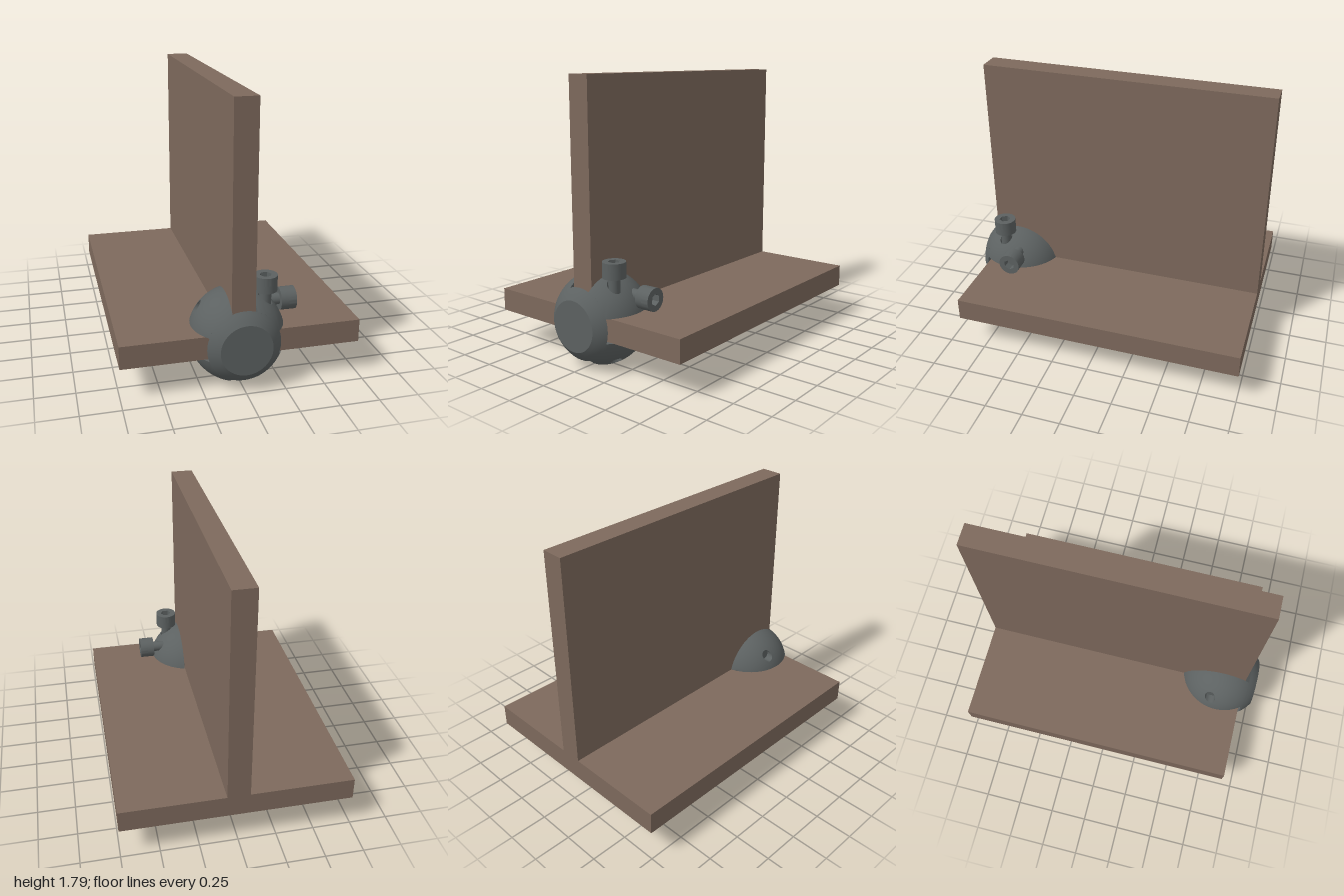
import * as THREE from 'three';
import { toCreasedNormals } from 'three/addons/utils/BufferGeometryUtils.js';

const R = 0.3, GAP = 0.077, FRONT = 0.192;   // ball radius, half slot width, slot end
const CY = 0.29, CZ = 0.748;                 // ball centre

// One quarter of the slotted ball: a height field around a straight bolt hole.
// Local axes: a = sideways, h = along the hole, z = forward.
function quarterGeometry(sx, sy, sideways, ca, cz, hole) {
  const ro = Math.sqrt(R * R - GAP * GAP);
  const back = -Math.sqrt(ro * ro - GAP * GAP);
  const t0 = Math.atan2(back, GAP), t1 = Math.asin(FRONT / ro);
  const outline = [];
  for (let i = 0; i < 36; i++) {
    const t = t0 + (t1 - t0) * i / 36;
    outline.push([ro * Math.cos(t), ro * Math.sin(t)]);
  }
  const aEnd = ro * Math.cos(t1);
  for (let i = 0; i < 8; i++) outline.push([aEnd + (GAP - aEnd) * i / 8, FRONT]);
  for (let i = 0; i < 18; i++) outline.push([GAP, FRONT + (back - FRONT) * i / 18]);

  const rings = 12, loop = rings + 3, pos = [], idx = [];
  for (const [a, z] of outline) {
    const d = Math.hypot(a - ca, z - cz);
    const ra = ca + (a - ca) * hole / d, rz = cz + (z - cz) * hole / d;
    const put = (pa, ph, pz) => sideways
      ? pos.push(sx * ph, sy * pa, pz) : pos.push(sx * pa, sy * ph, pz);
    put(ra, GAP, rz);
    for (let j = 0; j <= rings; j++) {
      const s = Math.sin(j / rings * Math.PI / 2);
      const pa = ra + (a - ra) * s, pz = rz + (z - rz) * s;
      put(pa, Math.sqrt(Math.max(GAP * GAP, R * R - pa * pa - pz * pz)), pz);
    }
    put(a, GAP, z);
  }
  const flip = sx * sy * (sideways ? -1 : 1) < 0, n = outline.length;
  for (let i = 0; i < n; i++) for (let j = 0; j < loop; j++) {
    const k = (i + 1) % n, m = (j + 1) % loop;
    const A = i * loop + j, B = k * loop + j, C = i * loop + m, D = k * loop + m;
    if (flip) idx.push(A, C, B, B, C, D);
    else idx.push(A, B, C, B, D, C);
  }
  const g = new THREE.BufferGeometry();
  g.setAttribute('position', new THREE.Float32BufferAttribute(pos, 3));
  g.setIndex(idx);
  return toCreasedNormals(g, 0.5);
}

export function createModel() {
  const model = new THREE.Group();
  const wood = new THREE.MeshStandardMaterial({ color: 0x7d695c });
  wood.name = 'brown board';
  const metal = new THREE.MeshStandardMaterial({ color: 0x5c6161 });
  metal.name = 'grey metal';

  const add = (parent, name, geo, mat, x = 0, y = 0, z = 0) => {
    const m = new THREE.Mesh(geo, mat);
    m.name = name;
    m.position.set(x, y, z);
    parent.add(m);
    return m;
  };

  // Boards
  add(model, 'horizontalBoard', new THREE.BoxGeometry(1.5, 0.148, 1.912), wood, 0, CY, -0.044);
  add(model, 'verticalBoard', new THREE.BoxGeometry(0.148, 1.427, 1.912), wood, 0, 1.0775, -0.044);

  // Slotted ball: four quarters joined by a flat-faced front cap
  const ball = new THREE.Group();
  ball.name = 'ballConnector';
  ball.position.set(0, CY, CZ);
  model.add(ball);
  add(ball, 'upperLeftQuarter', quarterGeometry(1, 1, false, 0.165, 0.06, 0.045), metal);
  add(ball, 'lowerLeftQuarter', quarterGeometry(1, -1, false, 0.165, 0.06, 0.038), metal);
  add(ball, 'upperRightQuarter', quarterGeometry(-1, 1, true, 0.17, -0.056, 0.038), metal);
  add(ball, 'lowerRightQuarter', quarterGeometry(-1, -1, false, 0.165, 0.0, 0), metal);

  const profile = [new THREE.Vector2(0, FRONT)];
  for (let i = 0; i <= 4; i++) {
    const z = FRONT + (0.252 - FRONT) * i / 4;
    profile.push(new THREE.Vector2(Math.sqrt(R * R - z * z), z));
  }
  profile.push(new THREE.Vector2(0, 0.252));
  const cap = new THREE.LatheGeometry(profile, 48).rotateX(Math.PI / 2);
  add(ball, 'frontCap', toCreasedNormals(cap, 0.4), metal);

  // Socket-head bolts
  const rim = new THREE.Shape().absarc(0, 0, 0.073, 0, Math.PI * 2);
  const hex = [];
  for (let i = 0; i < 6; i++) {
    const t = i * Math.PI / 3;
    hex.push(new THREE.Vector2(0.038 * Math.cos(t), 0.038 * Math.sin(t)));
  }
  rim.holes.push(new THREE.Path(hex));
  const collar = new THREE.ExtrudeGeometry(rim, { depth: 0.05, bevelEnabled: false, curveSegments: 32 });
  collar.rotateX(-Math.PI / 2);
  const collarGeo = toCreasedNormals(collar, 0.5);
  const makeBolt = (name, x, y, z) => {
    const bolt = new THREE.Group();
    bolt.name = name;
    bolt.position.set(x, y, z);
    add(bolt, 'headBase', new THREE.CylinderGeometry(0.073, 0.073, 0.05, 32), metal, 0, 0.025, 0);
    add(bolt, 'headSocket', collarGeo, metal, 0, 0.05, 0);
    add(bolt, 'shaft', new THREE.CylinderGeometry(0.037, 0.037, 0.5, 24), metal, 0, -0.25, 0);
    model.add(bolt);
    return bolt;
  };
  makeBolt('verticalBolt', 0.165, 0.585, CZ + 0.06);
  makeBolt('horizontalBolt', 0.29, 0.46, CZ - 0.056).rotation.z = -Math.PI / 2;

  return model;
}
